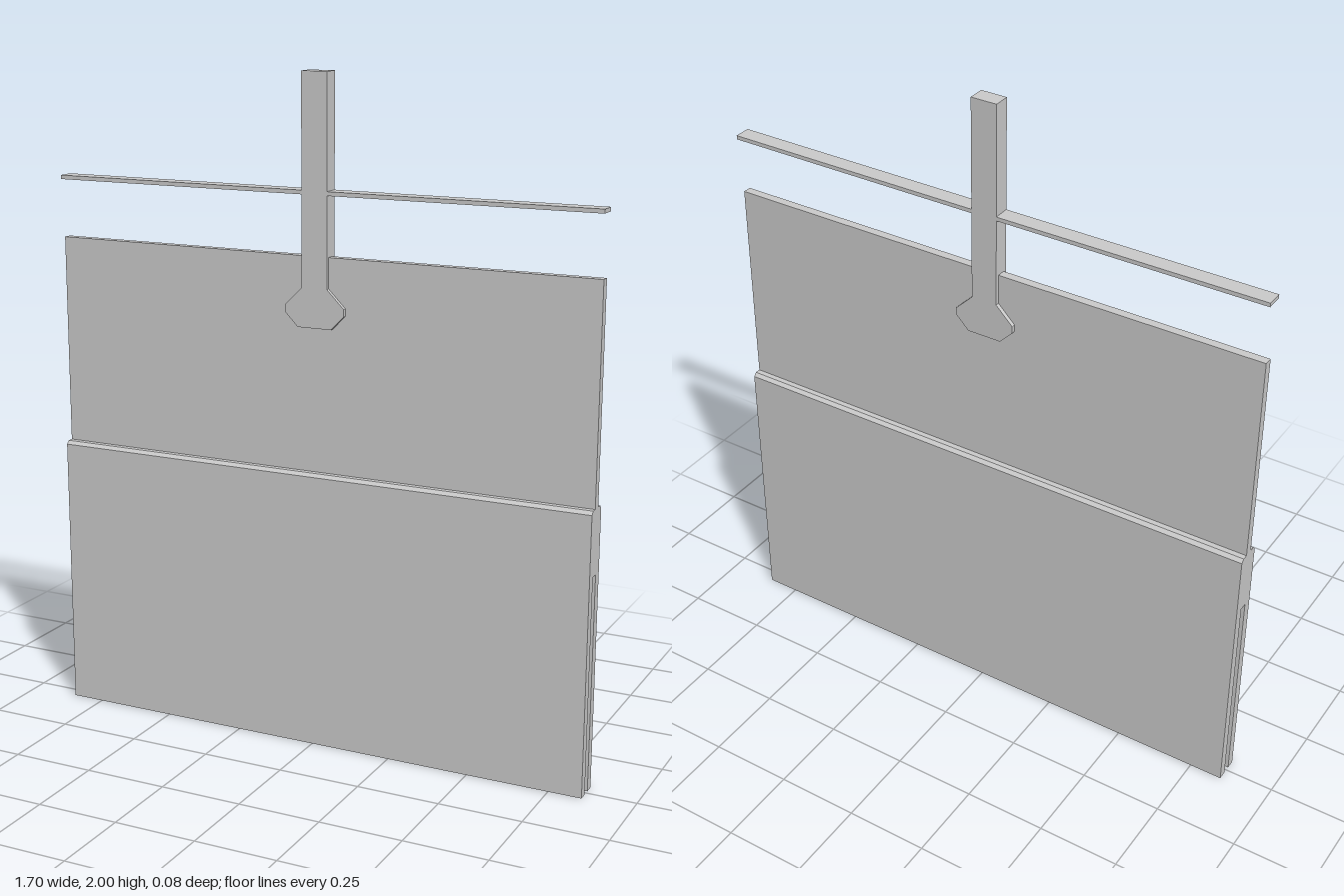
import * as THREE from 'three';

const WIDTH = 1.7;
const material = new THREE.MeshStandardMaterial({ color: 0xcccccc, flatShading: true });

function addMesh(group, name, geometry) {
  const mesh = new THREE.Mesh(geometry, material);
  mesh.name = name;
  group.add(mesh);
  return mesh;
}

// Mirror a half outline (x, y) about x = 0 and extrude it, centred on z = 0
function mirroredExtrusion(half, depth) {
  const mirrored = half.map(([x, y]) => [-x, y]).reverse();
  const shape = new THREE.Shape([...half, ...mirrored].map(([x, y]) => new THREE.Vector2(x, y)));
  const geometry = new THREE.ExtrudeGeometry(shape, { depth, bevelEnabled: false });
  return geometry.translate(0, 0, -depth / 2);
}

export function createModel() {
  const model = new THREE.Group();
  model.name = 'slottedPanel';

  // Lower body: thick panel with chamfered top and a slot open at the bottom
  const body = mirroredExtrusion(
    [[0.012, 0.65], [0.012, 0], [0.04, 0], [0.04, 0.835], [0.03, 0.845]], WIDTH);
  addMesh(model, 'lowerBody', body.rotateY(Math.PI / 2));

  // Thin plate rising from the body
  const plate = new THREE.BoxGeometry(WIDTH, 0.64, 0.026);
  addMesh(model, 'upperPlate', plate).position.y = 1.16;

  // Upright stem with a flared octagonal foot
  const stem = mirroredExtrusion(
    [[0.053, 1.274], [0.093, 1.315], [0.093, 1.337], [0.04, 1.39], [0.04, 2]], 0.05);
  addMesh(model, 'stem', stem);

  // Flat crossbar halves on either side of the stem
  for (const side of [1, -1]) {
    const bar = new THREE.BoxGeometry(WIDTH / 2 - 0.04, 0.012, 0.05);
    const mesh = addMesh(model, side > 0 ? 'leftCrossbar' : 'rightCrossbar', bar);
    mesh.position.set(side * (WIDTH / 4 + 0.02), 1.662, 0);
  }

  return model;
}
